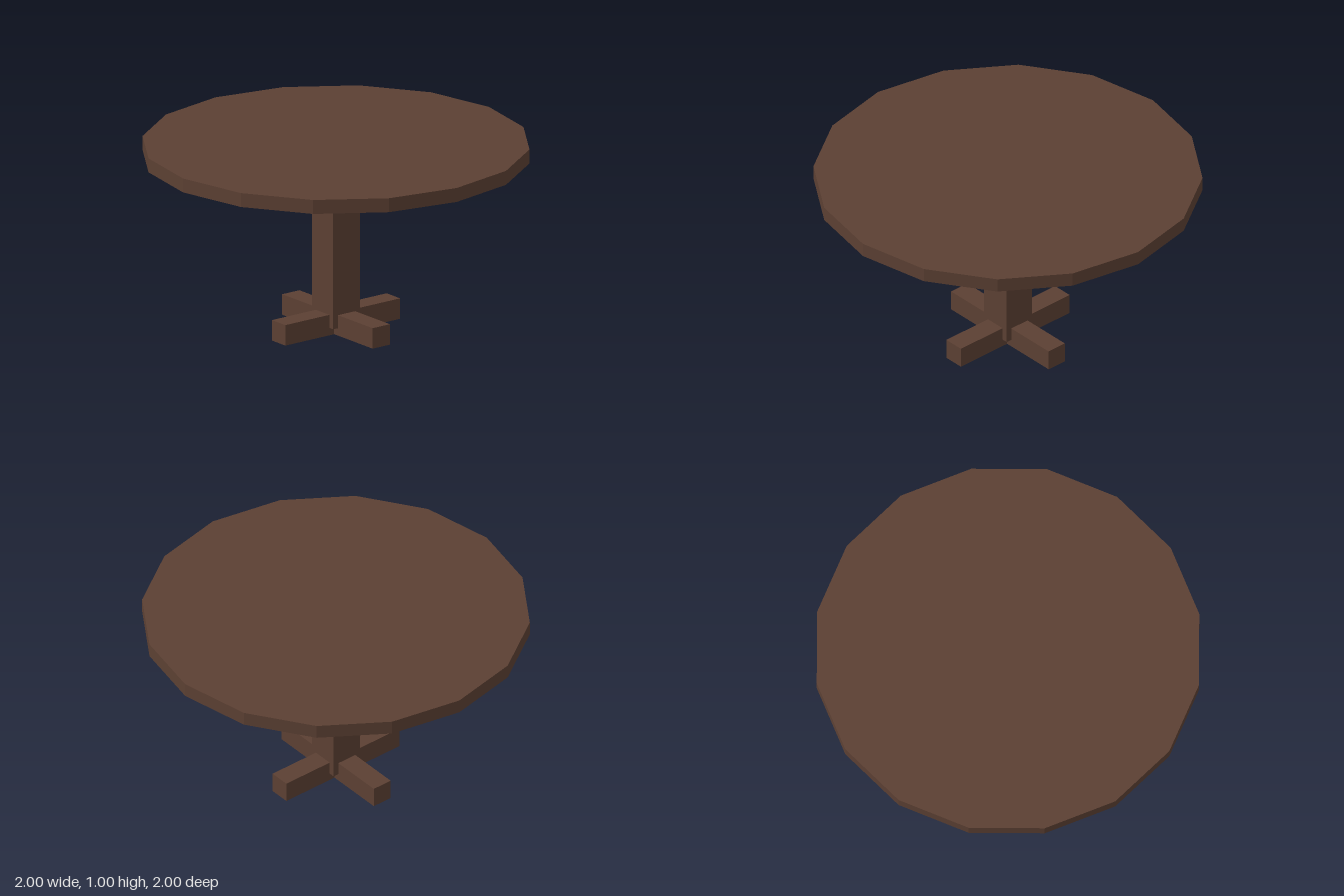
import * as THREE from 'three';

export function createModel() {
  const model = new THREE.Group();
  model.name = 'pedestalTable';
  const wood = new THREE.MeshStandardMaterial({ color: 0x5c4033, flatShading: true });

  const add = (name, geometry, y) => {
    const mesh = new THREE.Mesh(geometry, wood);
    mesh.name = name;
    mesh.position.y = y;
    model.add(mesh);
    return mesh;
  };

  // Sixteen-sided top
  add('tabletop', new THREE.CylinderGeometry(1, 1, 0.075, 16), 0.9675);

  // Square post, its lower end sunk between the feet
  add('post', new THREE.BoxGeometry(0.175, 0.89, 0.175), 0.485);

  // Two crossed beams as feet
  for (const [i, name] of ['footBeamAcross', 'footBeamAlong'].entries()) {
    add(name, new THREE.BoxGeometry(0.75, 0.11, 0.112), 0.055).rotation.y = i * Math.PI / 2;
  }

  return model;
}
